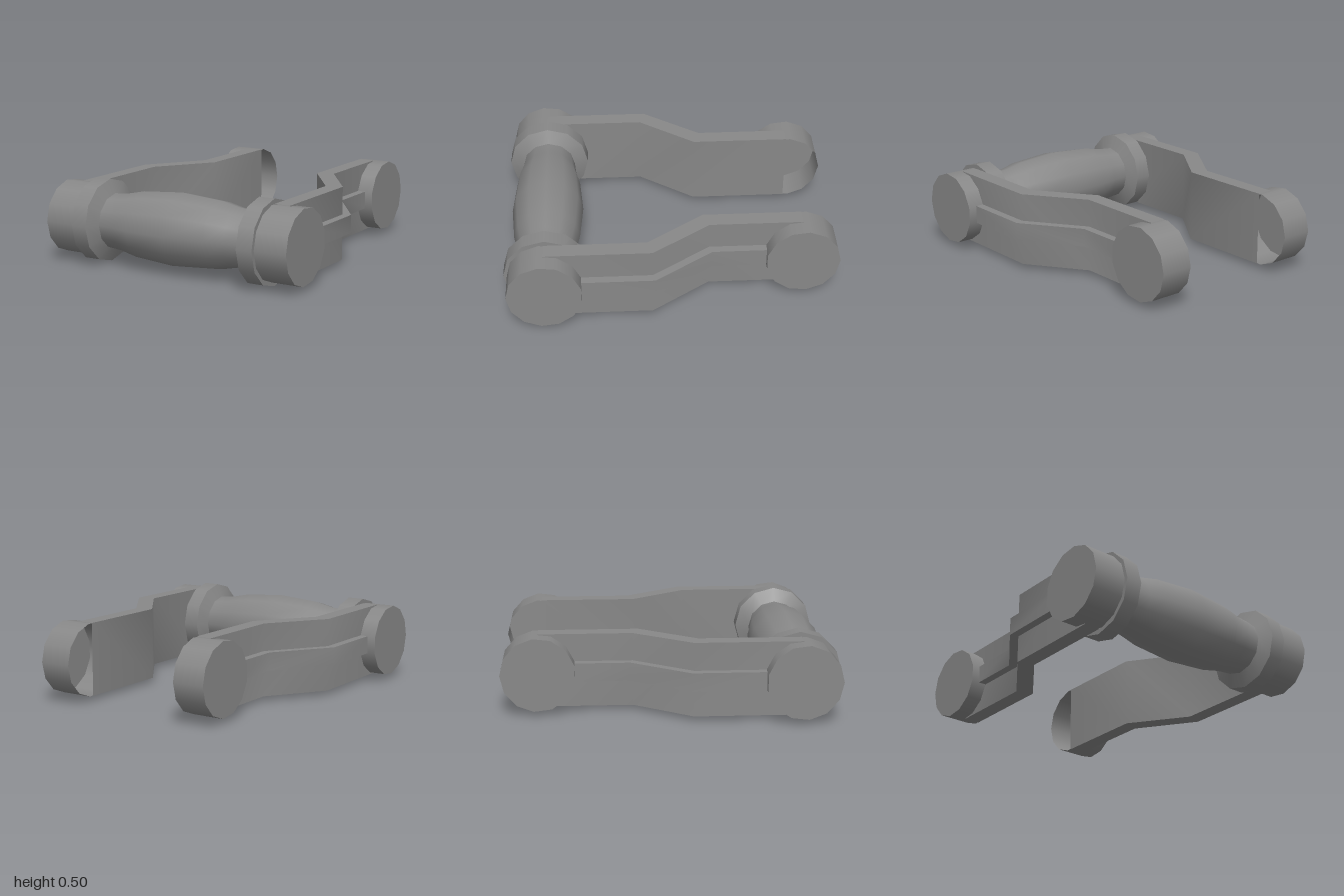
import * as THREE from 'three';

const MID_Y = 0.25;
const HANDLE_Z = 0.75;

export function createModel() {
  const model = new THREE.Group();
  const material = new THREE.MeshStandardMaterial({ color: 0x888888 });
  const openMaterial = new THREE.MeshStandardMaterial({ color: 0x888888, side: THREE.DoubleSide });

  function add(parent, name, geometry, mat = material) {
    const mesh = new THREE.Mesh(geometry, mat);
    mesh.name = name;
    parent.add(mesh);
    return mesh;
  }

  // Rectangular section swept along a plan path of [innerX, innerZ, outerX, outerZ]
  // stations: four strips, smooth along the path, sharp across it, open at the ends
  function sweep(stations, height, side) {
    const low = MID_Y - height / 2, high = MID_Y + height / 2;
    const positions = [], index = [];
    const loops = stations.map(([ix, iz, ox, oz]) => [
      [side * ix, low, iz], [side * ix, high, iz], [side * ox, high, oz], [side * ox, low, oz],
    ]);
    for (let k = 0; k < 4; k++) {
      const start = positions.length / 3;
      loops.forEach((loop, i) => {
        positions.push(...loop[k], ...loop[(k + 1) % 4]);
        if (i === 0) return;
        const a = start + 2 * (i - 1), b = a + 1, c = a + 2, d = a + 3;
        index.push(...(side > 0 ? [a, c, b, c, d, b] : [a, b, c, c, b, d]));
      });
    }
    const geometry = new THREE.BufferGeometry();
    geometry.setAttribute('position', new THREE.Float32BufferAttribute(positions, 3));
    geometry.setIndex(index);
    geometry.computeVertexNormals();
    return geometry;
  }

  // Thirteen-sided drum, capped on its outer end and open on its inner end;
  // dir is the z direction in which one corner points
  function addDrum(parent, name, side, innerX, z, dir) {
    const r = 0.222, width = 0.2, sides = 13;
    const drum = new THREE.Group();
    drum.name = name;
    const wall = new THREE.CylinderGeometry(r, r, width, sides, 1, true, dir > 0 ? 0 : Math.PI);
    wall.rotateZ(Math.PI / 2);
    add(drum, 'drumWall', wall, openMaterial);
    const cap = new THREE.CircleGeometry(r, sides, dir * side > 0 ? Math.PI : 0);
    cap.rotateY(side * Math.PI / 2);
    cap.translate(side * width / 2, 0, 0);
    add(drum, 'drumCap', cap, openMaterial);
    drum.position.set(side * (innerX + width / 2), MID_Y, z);
    parent.add(drum);
  }

  // Barrel-shaped grip, swelling at the middle
  const half = [[0.165, 0.49], [0.175, 0.38], [0.2, 0.265], [0.22, 0]];
  const profile = [
    ...half.map(([r, x]) => new THREE.Vector2(r, -x)),
    ...half.slice(0, -1).reverse().map(([r, x]) => new THREE.Vector2(r, x)),
  ];
  const grip = new THREE.LatheGeometry(profile, 12);
  grip.rotateZ(-Math.PI / 2);
  add(model, 'grip', grip).position.set(0, MID_Y, HANDLE_Z);

  for (const side of [1, -1]) {
    const assembly = new THREE.Group();
    assembly.name = side > 0 ? 'leftSide' : 'rightSide';
    model.add(assembly);

    // Collar: straight band and a bevel towards the grip
    const band = new THREE.CylinderGeometry(0.25, 0.25, 0.1, 12);
    band.rotateZ(-side * Math.PI / 2);
    add(assembly, 'collarBand', band).position.set(side * 0.565, MID_Y, HANDLE_Z);
    const bevel = new THREE.CylinderGeometry(0.25, 0.165, 0.035, 12, 1, true);
    bevel.rotateZ(-side * Math.PI / 2);
    add(assembly, 'collarBevel', bevel, openMaterial).position.set(side * 0.4975, MID_Y, HANDLE_Z);

    // Drums at the two ends of the arm
    addDrum(assembly, 'frontDrum', side, 0.617, 0.757, 1);
    addDrum(assembly, 'rearDrum', side, 0.376, -0.777, -1);

    // Cranked arm plate
    add(assembly, 'arm', sweep([
      [0.376, -0.777, 0.475, -0.777], [0.376, -0.185, 0.475, -0.22],
      [0.617, 0.155, 0.715, 0.125], [0.617, 0.757, 0.715, 0.757],
    ], 0.442, side));

    // Raised rail along the outer face of the arm
    add(assembly, 'rail', sweep([
      [0.47, -0.6, 0.525, -0.6], [0.47, -0.215, 0.525, -0.235],
      [0.71, 0.13, 0.765, 0.11], [0.71, 0.6, 0.765, 0.6],
    ], 0.11, side));
  }
  return model;
}
